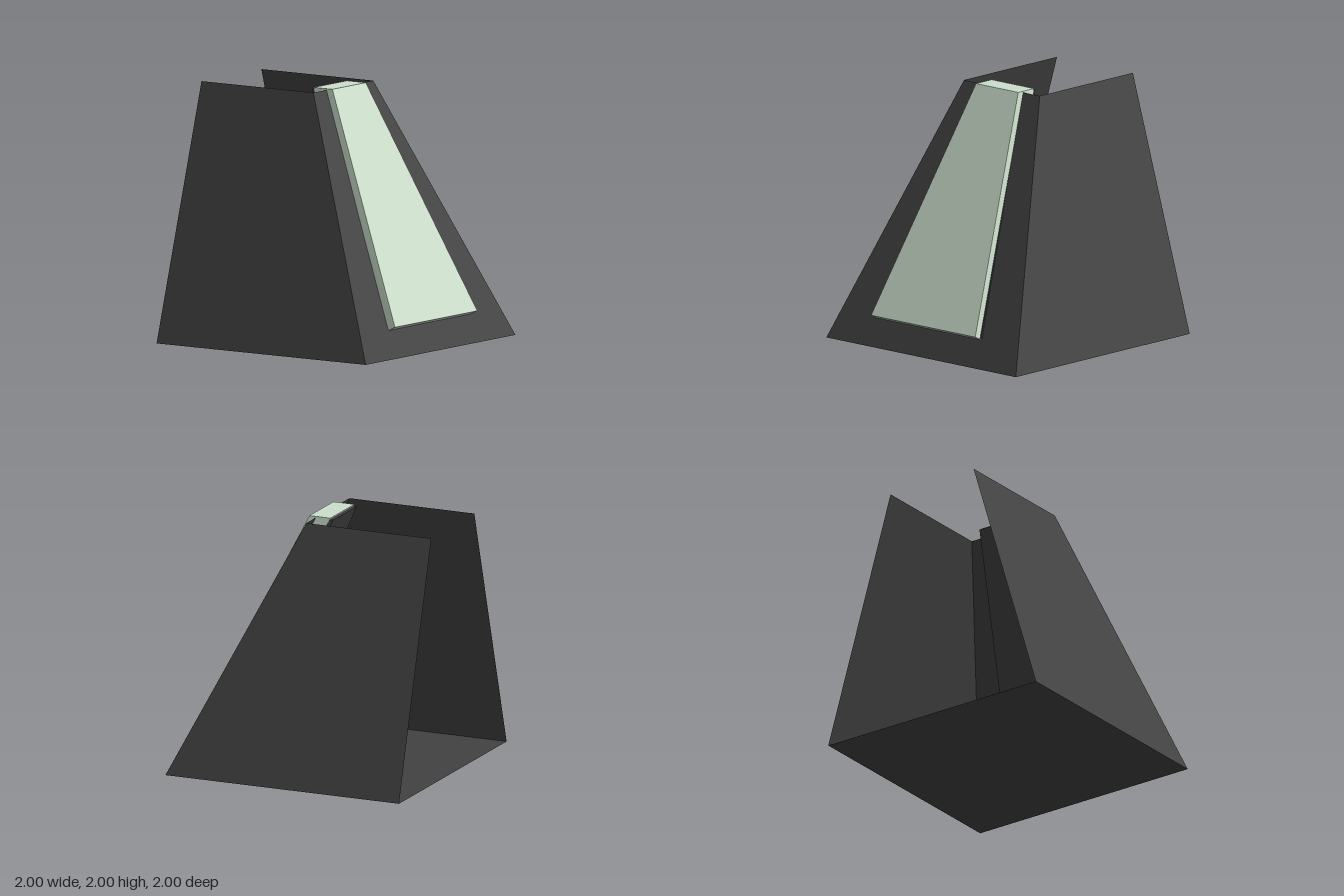
import * as THREE from 'three';

// Flat-shaded mesh from corner points and quads (counter-clockwise from outside)
function quadMesh(name, points, quads, material) {
  const positions = [];
  for (const [a, b, c, d] of quads) {
    for (const i of [a, b, c, a, c, d]) positions.push(...points[i]);
  }
  const geometry = new THREE.BufferGeometry();
  geometry.setAttribute('position', new THREE.Float32BufferAttribute(positions, 3));
  geometry.computeVertexNormals();
  const mesh = new THREE.Mesh(geometry, material);
  mesh.name = name;
  return mesh;
}

// Tapered slab: profile is [z, y] for top front, bottom front, bottom back, top back
function taperedSlab(name, profile, topHalf, bottomHalf, bottomShift, material) {
  const corner = (side) => profile.map(([z, y], i) => {
    const low = i === 1 || i === 2;
    return [low ? side * bottomHalf + bottomShift : side * topHalf, y, z];
  });
  const quads = [[0, 1, 2, 3], [7, 6, 5, 4]];
  for (let i = 0; i < 4; i++) {
    const j = (i + 1) % 4;
    quads.push([j, i, i + 4, j + 4]);
  }
  return quadMesh(name, [...corner(1), ...corner(-1)], quads, material);
}

export function createModel() {
  const group = new THREE.Group();
  group.name = 'slopedHousing';

  const charcoal = new THREE.MeshStandardMaterial({ color: 0x424242, side: THREE.DoubleSide });
  charcoal.name = 'charcoal';
  const paleGreen = new THREE.MeshStandardMaterial({ color: 0xcde0cc });
  paleGreen.name = 'pale green';

  // Thin shell, open at the top and back
  const H = 1.99;
  const shell = [
    [-1, 0, 1], [1, 0, 1], [1, 0, -1], [-1, 0, -1],
    [-0.4, H, 0.07], [0.4, H, 0.07], [0.4, H, -1], [-0.4, H, -1],
  ];
  group.add(
    quadMesh('floor', shell, [[3, 2, 1, 0]], charcoal),
    quadMesh('frontWall', shell, [[0, 1, 5, 4]], charcoal),
    quadMesh('leftWall', shell, [[1, 2, 6, 5]], charcoal),
    quadMesh('rightWall', shell, [[3, 0, 4, 7]], charcoal),
  );

  // Pale panel set through the sloping front
  group.add(taperedSlab('frontPanel',
    [[0.125, 2], [0.965, 0.24], [0.819, 0.17], [-0.055, 2]],
    0.223, 0.55, -0.01, paleGreen));

  // Dark backing slab just behind the panel
  group.add(taperedSlab('panelBacking',
    [[0.068, 1.985], [0.91, 0.22], [0.8, 0.165], [-0.075, 1.985]],
    0.22, 0.549, 0.002, charcoal));

  return group;
}
